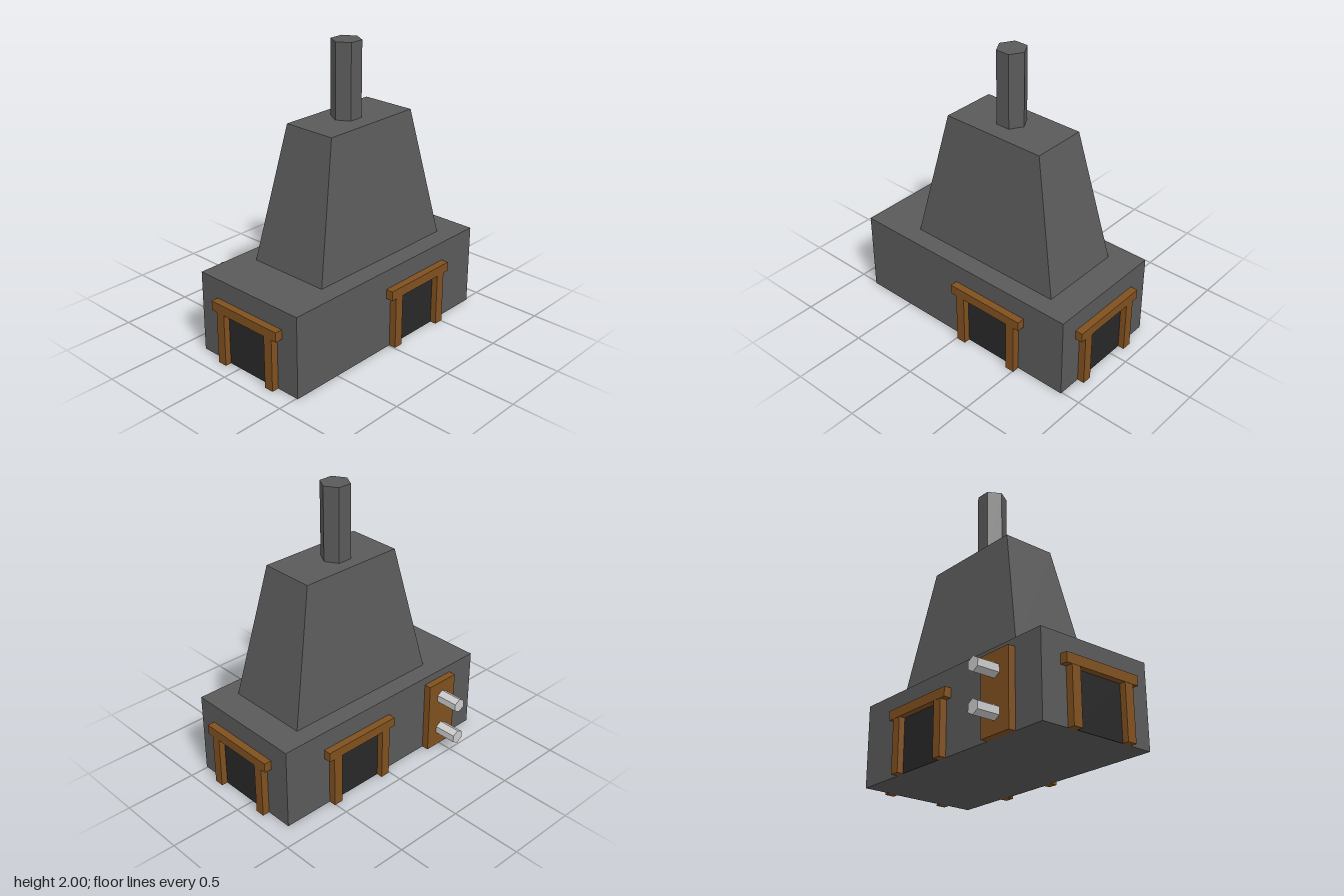
import * as THREE from 'three';

const material = (color) => new THREE.MeshStandardMaterial({ color, flatShading: true });

export function createModel() {
  const model = new THREE.Group();
  const stone = material(0x5a5a5a);
  const wood = material(0x80501f);
  const dark = material(0x282828);
  const metal = material(0xcccccc);

  function add(parent, name, geometry, mat, x, y, z) {
    const mesh = new THREE.Mesh(geometry, mat);
    mesh.name = name;
    mesh.position.set(x, y, z);
    parent.add(mesh);
    return mesh;
  }
  const box = (parent, name, mat, w, h, d, x, y, z) =>
    add(parent, name, new THREE.BoxGeometry(w, h, d), mat, x, y, z);

  // Base block
  box(model, 'base', stone, 0.86, 0.57, 1.72, 0.08, 0.285, -0.005);

  // Tapered hood: a box whose top corners are pulled in
  const hood = new THREE.BoxGeometry(0.595, 0.92, 1.16);
  const p = hood.attributes.position;
  for (let i = 0; i < p.count; i++) {
    if (p.getY(i) > 0) {
      p.setX(i, Math.sign(p.getX(i)) * 0.1925);
      p.setZ(i, Math.sign(p.getZ(i)) * 0.3775);
    }
  }
  hood.computeVertexNormals();
  add(model, 'hood', hood, stone, 0.078, 1.03, -0.08);

  // Hexagonal chimney
  add(model, 'chimney', new THREE.CylinderGeometry(0.101, 0.101, 0.51, 6), stone, 0.062, 1.745, -0.06);

  // Framed openings, one on each side, facing local +z
  const doorways = [
    ['frontDoorway', 0.09, 0.855, 0],
    ['backDoorway', 0.09, -0.865, Math.PI],
    ['leftDoorway', 0.51, -0.257, Math.PI / 2],
    ['rightDoorway', -0.35, -0.257, -Math.PI / 2],
  ];
  for (const [name, x, z, turn] of doorways) {
    const door = new THREE.Group();
    door.name = name;
    for (const side of [-1, 1]) {
      box(door, 'doorPost', wood, 0.067, 0.37, 0.05, side * 0.216, 0.185, 0.025);
    }
    box(door, 'lintel', wood, 0.583, 0.066, 0.052, 0, 0.403, 0.026);
    box(door, 'opening', dark, 0.366, 0.37, 0.006, 0, 0.185, 0.003);
    door.position.set(x, 0, z);
    door.rotation.y = turn;
    model.add(door);
  }

  // Side panel with two hexagonal pipes
  box(model, 'pipePanel', wood, 0.05, 0.515, 0.25, -0.375, 0.2575, 0.507);
  for (const y of [0.13, 0.39]) {
    const pipe = new THREE.CylinderGeometry(0.05, 0.05, 0.16, 6, 1, false, Math.PI / 2);
    pipe.rotateZ(Math.PI / 2);
    add(model, 'pipe', pipe, metal, -0.48, y, 0.508);
  }

  return model;
}
